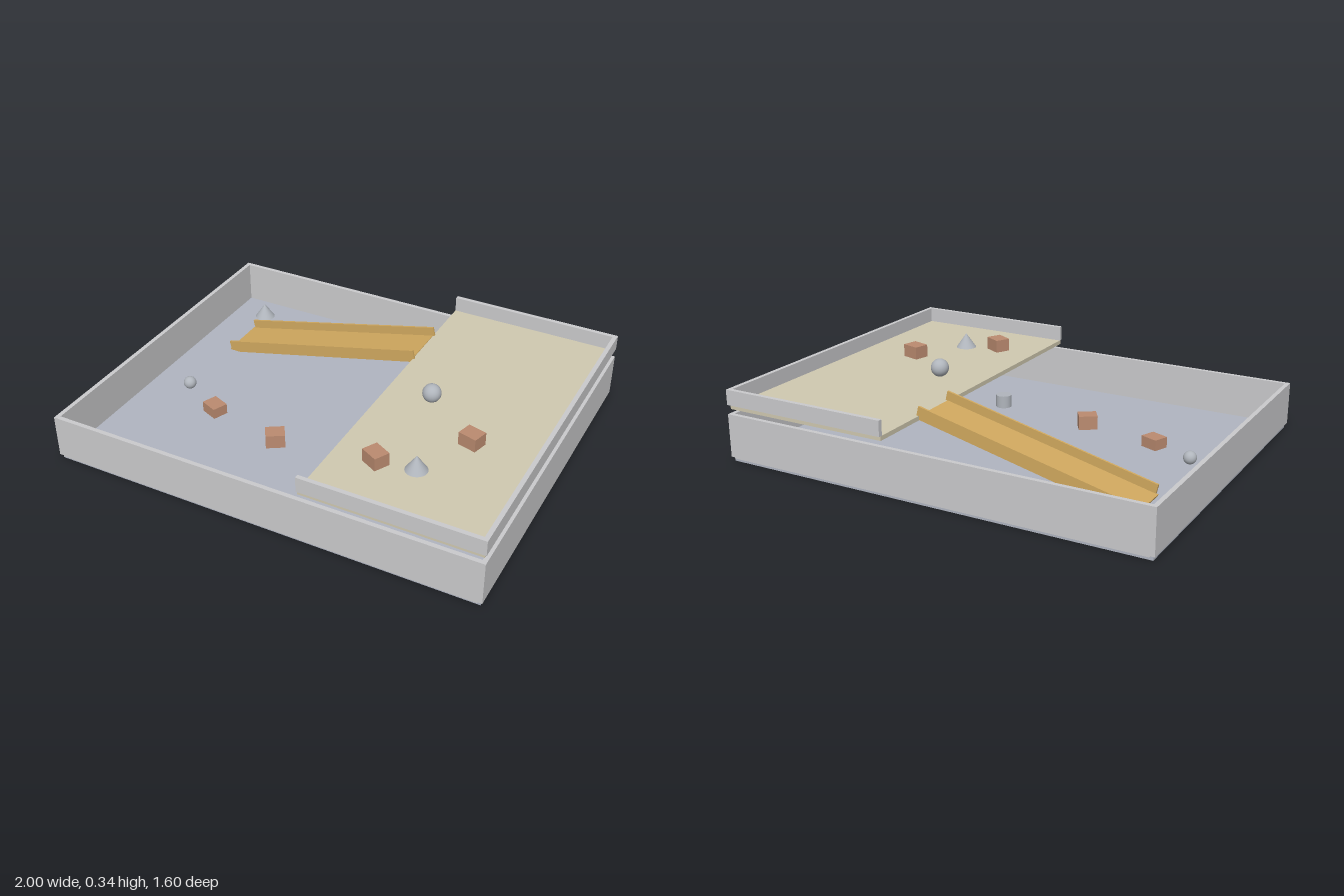
import * as THREE from 'three';

const mat = (name, color) => {
  const m = new THREE.MeshStandardMaterial({ color });
  m.name = name;
  return m;
};

export function createModel() {
  const wallGrey = mat('wall grey', 0xcacacc);
  const floorBlue = mat('floor blue grey', 0xb0b5c1);
  const sand = mat('platform sand', 0xd0c9b0);
  const wood = mat('ramp wood', 0xd1a95f);
  const brown = mat('block brown', 0xbb8b70);
  const steel = mat('steel grey', 0xb0b5bc);

  const model = new THREE.Group();
  model.name = 'twoLevelTray';

  const add = (parent, name, geo, material, x, y, z) => {
    const mesh = new THREE.Mesh(geo, material);
    mesh.name = name;
    mesh.position.set(x, y, z);
    parent.add(mesh);
    return mesh;
  };
  // Box given by its minimum and maximum corners
  const span = (parent, name, material, [x0, y0, z0], [x1, y1, z1]) =>
    add(parent, name, new THREE.BoxGeometry(x1 - x0, y1 - y0, z1 - z0), material,
      (x0 + x1) / 2, (y0 + y1) / 2, (z0 + z1) / 2);

  // Lower tray: floor and four walls
  const tray = new THREE.Group();
  tray.name = 'lowerTray';
  model.add(tray);
  span(tray, 'lowerFloor', floorBlue, [-0.99, 0, -0.79], [0.99, 0.02, 0.79]);
  for (const s of [-1, 1]) {
    const side = s > 0 ? 'Left' : 'Right';
    const end = s > 0 ? 'Front' : 'Back';
    span(tray, 'lowerWall' + side, wallGrey, [s * 0.99 - 0.01, 0.02, -0.8], [s * 0.99 + 0.01, 0.218, 0.8]);
    span(tray, 'lowerWall' + end, wallGrey, [-0.98, 0.015, s * 0.79 - 0.01], [0.98, 0.218, s * 0.79 + 0.01]);
  }

  // Raised platform with three walls, open towards the ramp
  const platform = new THREE.Group();
  platform.name = 'upperPlatform';
  model.add(platform);
  span(platform, 'platformFloor', sand, [0.2, 0.24, -0.79], [0.99, 0.26, 0.79]);
  span(platform, 'platformWallLeft', wallGrey, [0.98, 0.26, -0.8], [1, 0.33, 0.8]);
  for (const s of [-1, 1]) {
    span(platform, 'platformWall' + (s > 0 ? 'Front' : 'Back'), wallGrey,
      [0.2, 0.26, s * 0.79 - 0.01], [0.98, 0.33, s * 0.79 + 0.01]);
  }

  // Sloping ramp with side rails
  const ramp = new THREE.Group();
  ramp.name = 'ramp';
  ramp.position.set(-0.298, 0.135, -0.4);
  ramp.rotation.z = Math.atan(0.235);
  model.add(ramp);
  add(ramp, 'rampDeck', new THREE.BoxGeometry(1.025, 0.02, 0.228), wood, 0, 0, 0);
  for (const s of [-1, 1]) {
    add(ramp, 'rampRail', new THREE.BoxGeometry(1.025, 0.042, 0.01), wood, 0.01, 0.03, s * 0.114);
  }

  // Blocks: x, z, ground level, height, turn in degrees
  const blocks = [
    [-0.57, 0.21, 0.02, 0.05, -22],
    [-0.2, 0.29, 0.02, 0.065, 32],
    [0.335, 0.13, 0.02, 0.06, -15],
    [0.69, 0.195, 0.26, 0.06, -15],
    [0.395, 0.49, 0.26, 0.06, -28],
  ];
  for (const [x, z, y, h, turn] of blocks) {
    const block = add(model, 'block', new THREE.BoxGeometry(0.087, h, 0.073), brown, x, y + h / 2, z);
    block.rotation.y = THREE.MathUtils.degToRad(turn);
  }

  // Balls: x, z, ground level, radius
  for (const [x, z, y, r] of [[0.415, -0.015, 0.26, 0.042], [-0.785, 0.095, 0.02, 0.03]]) {
    add(model, 'ball', new THREE.SphereGeometry(r, 24, 16), steel, x, y + r, z);
  }

  // Cones: x, z, ground level
  for (const [x, z, y] of [[-0.815, -0.65, 0.02], [0.56, 0.455, 0.26]]) {
    add(model, 'cone', new THREE.ConeGeometry(0.049, 0.07, 24), steel, x, y + 0.035, z);
  }

  // Cylinder standing under the platform edge
  add(model, 'cylinder', new THREE.CylinderGeometry(0.038, 0.038, 0.06, 24), steel, 0.29, 0.05, 0.36);

  return model;
}
